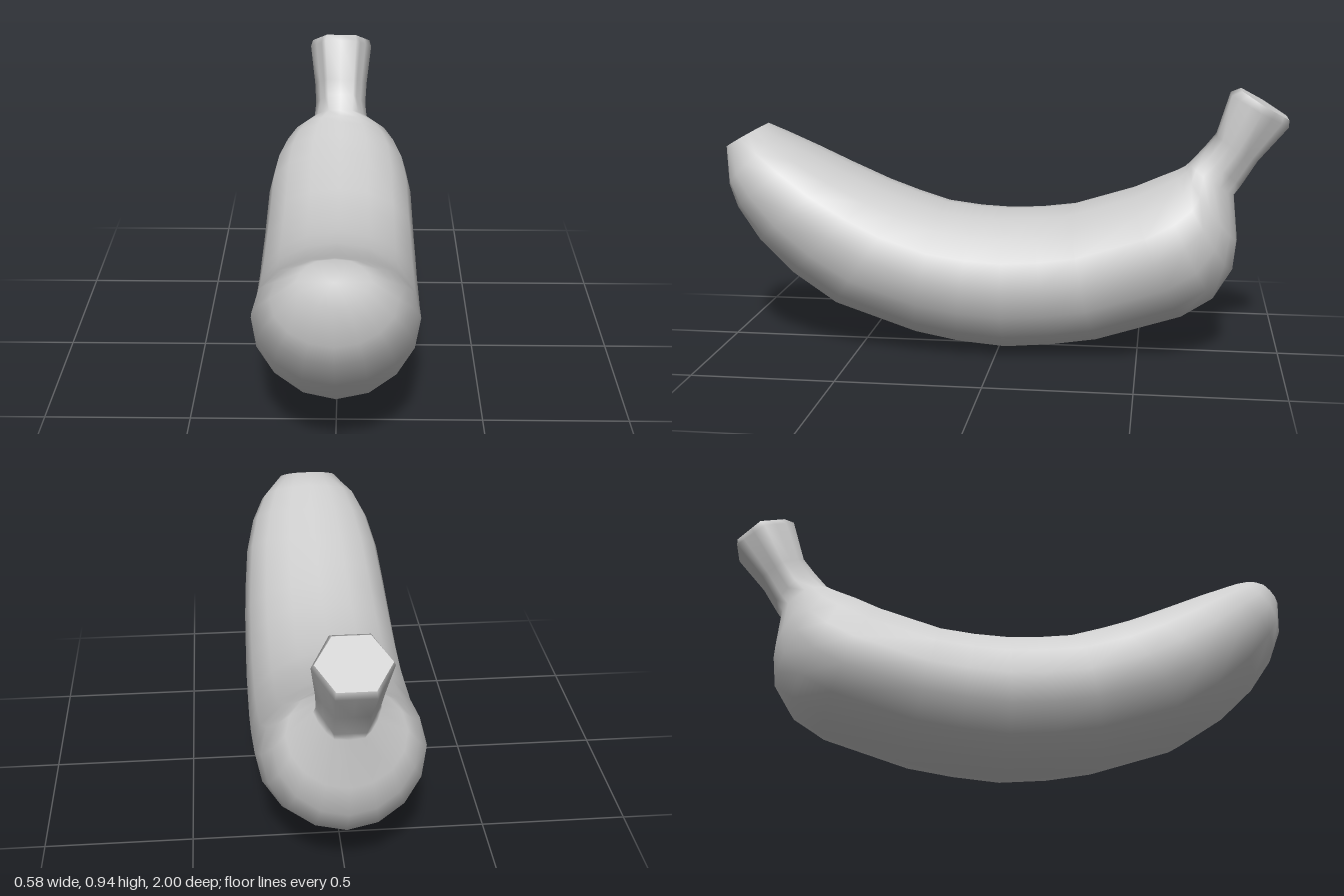
import * as THREE from 'three';

const SIDES = 16;

// Cross-sections from blossom tip to stem: [topZ, topY, bottomZ, bottomY, halfWidth, hexagonal 0..1]
const RINGS = [
  [0.86, 0.80, 1.00, 0.72, 0.11, 0.3],
  [0.79, 0.77, 0.99, 0.58, 0.19, 0],
  [0.68, 0.72, 0.96, 0.50, 0.232, 0],
  [0.55, 0.66, 0.88, 0.38, 0.262, 0],
  [0.41, 0.60, 0.76, 0.26, 0.275, 0],
  [0.31, 0.565, 0.60, 0.15, 0.283, 0],
  [0.20, 0.53, 0.30, 0.05, 0.288, 0],
  [0.08, 0.515, 0.14, 0.02, 0.29, 0],
  [-0.03, 0.51, -0.03, 0.005, 0.29, 0],
  [-0.14, 0.515, -0.20, 0.02, 0.29, 0],
  [-0.26, 0.53, -0.36, 0.045, 0.288, 0],
  [-0.47, 0.595, -0.66, 0.14, 0.283, 0],
  [-0.56, 0.635, -0.77, 0.21, 0.265, 0],
  [-0.62, 0.66, -0.83, 0.31, 0.23, 0],
  [-0.65, 0.675, -0.842, 0.42, 0.19, 0],
  [-0.67, 0.69, -0.825, 0.585, 0.105, 0.5],
  [-0.72, 0.74, -0.845, 0.62, 0.10, 1],
  [-0.76, 0.79, -0.90, 0.71, 0.105, 1],
  [-0.805, 0.935, -1.00, 0.83, 0.123, 1],
  [-0.84, 0.95, -1.00, 0.855, 0.115, 1],
];

// Points of one ring: an ellipse blending into a flat-topped hexagon
function ringPoints([tz, ty, bz, by, w, hex]) {
  const cos30 = Math.cos(Math.PI / 6), sixth = Math.PI / 3;
  const points = [];
  for (let j = 0; j < SIDES; j++) {
    const a = (j / SIDES) * Math.PI * 2;
    // snap the nearest samples onto the hexagon corners
    const corner = (Math.round(a / sixth - 0.5) + 0.5) * sixth;
    const h = Math.abs(a - corner) < 0.15 ? corner : a;
    const r = cos30 / Math.cos(h - sixth * Math.round(h / sixth));
    const u = THREE.MathUtils.lerp(Math.sin(a), r * Math.sin(h), hex);
    let v = THREE.MathUtils.lerp(Math.cos(a), (r * Math.cos(h)) / cos30, hex);
    v += 0.07 * (1 - v * v) * (1 - hex); // slightly flatter upper side
    const t = (1 - v) / 2;
    points.push(new THREE.Vector3(w * u, ty + (by - ty) * t, tz + (bz - tz) * t));
  }
  return points;
}

function centreOf(points) {
  return points.reduce((s, p) => s.add(p), new THREE.Vector3()).divideScalar(points.length);
}

function geometryFrom(points, index) {
  const geometry = new THREE.BufferGeometry().setFromPoints(points);
  geometry.setIndex(index);
  geometry.computeVertexNormals();
  return geometry;
}

export function createModel() {
  const group = new THREE.Group();
  group.name = 'banana';
  const material = new THREE.MeshStandardMaterial({ color: 0xcccccc });
  const rings = RINGS.map(ringPoints);

  // Curved fruit and stem as one smooth skin, closed at the blossom tip
  const points = rings.flat();
  const index = [];
  const tip = points.length;
  points.push(centreOf(rings[0]));
  for (let j = 0; j < SIDES; j++) {
    const k = (j + 1) % SIDES;
    index.push(tip, k, j);
    for (let i = 0; i < rings.length - 1; i++) {
      const a = i * SIDES, b = a + SIDES;
      index.push(a + j, a + k, b + j, a + k, b + k, b + j);
    }
  }
  const skin = new THREE.Mesh(geometryFrom(points, index), material);
  skin.name = 'fruitAndStem';
  group.add(skin);

  // Flat cut end of the stem
  const end = rings[rings.length - 1];
  const fan = [];
  for (let j = 0; j < SIDES; j++) fan.push(SIDES, j, (j + 1) % SIDES);
  const cut = new THREE.Mesh(geometryFrom([...end, centreOf(end)], fan), material);
  cut.name = 'stemEnd';
  group.add(cut);

  return group;
}
